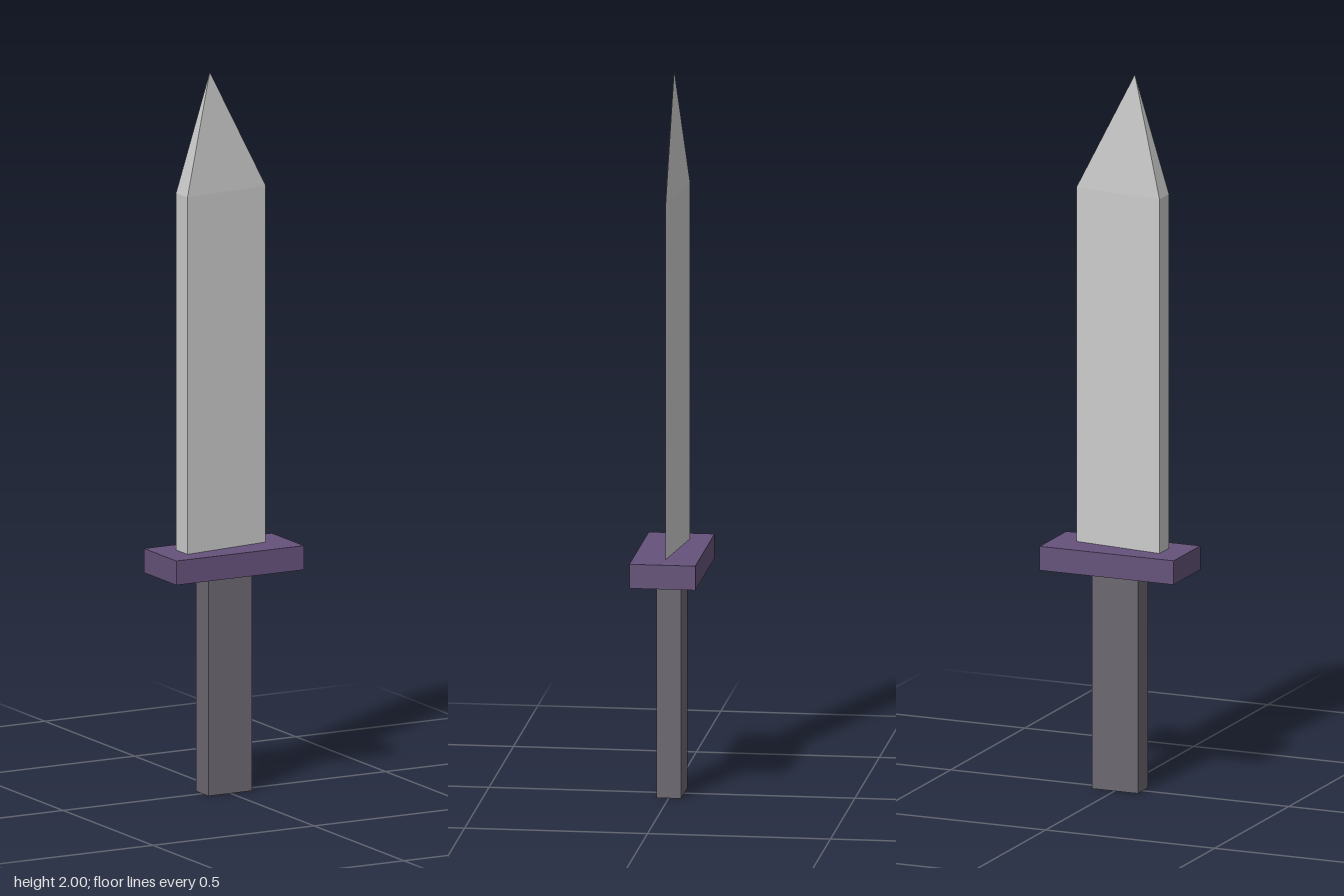
import * as THREE from 'three';
import { ConvexGeometry } from 'three/addons/geometries/ConvexGeometry.js';

const GUARD_BOTTOM = 0.61, GUARD_TOP = 0.677, SHOULDER = 1.667;

function part(name, geometry, color) {
  const mesh = new THREE.Mesh(geometry, new THREE.MeshStandardMaterial({ color, flatShading: true }));
  mesh.name = name;
  return mesh;
}

// Box spanning two heights, centred on z
function block(name, width, bottom, top, depth, color) {
  const mesh = part(name, new THREE.BoxGeometry(width, top - bottom, depth), color);
  mesh.position.set(-0.001, (bottom + top) / 2, 0);
  return mesh;
}

// Wedge section: flat spine at -x, sharp edge at +x
const wedge = (y) => [
  new THREE.Vector3(-0.132, y, 0.032),
  new THREE.Vector3(-0.132, y, -0.032),
  new THREE.Vector3(0.128, y, 0),
];

export function createModel() {
  const knife = new THREE.Group();
  knife.name = 'knife';

  knife.add(block('grip', 0.135, 0, GUARD_BOTTOM, 0.068, 0x6b6770));
  knife.add(block('guard', 0.396, GUARD_BOTTOM, GUARD_TOP, 0.18, 0x65527a));

  // Blade: straight wedge narrowing to an off-centre point
  const tip = new THREE.Vector3(-0.045, 2, 0);
  const bladeGeometry = new ConvexGeometry([...wedge(GUARD_TOP), ...wedge(SHOULDER), tip]);
  knife.add(part('blade', bladeGeometry, 0xcccccc));

  return knife;
}
